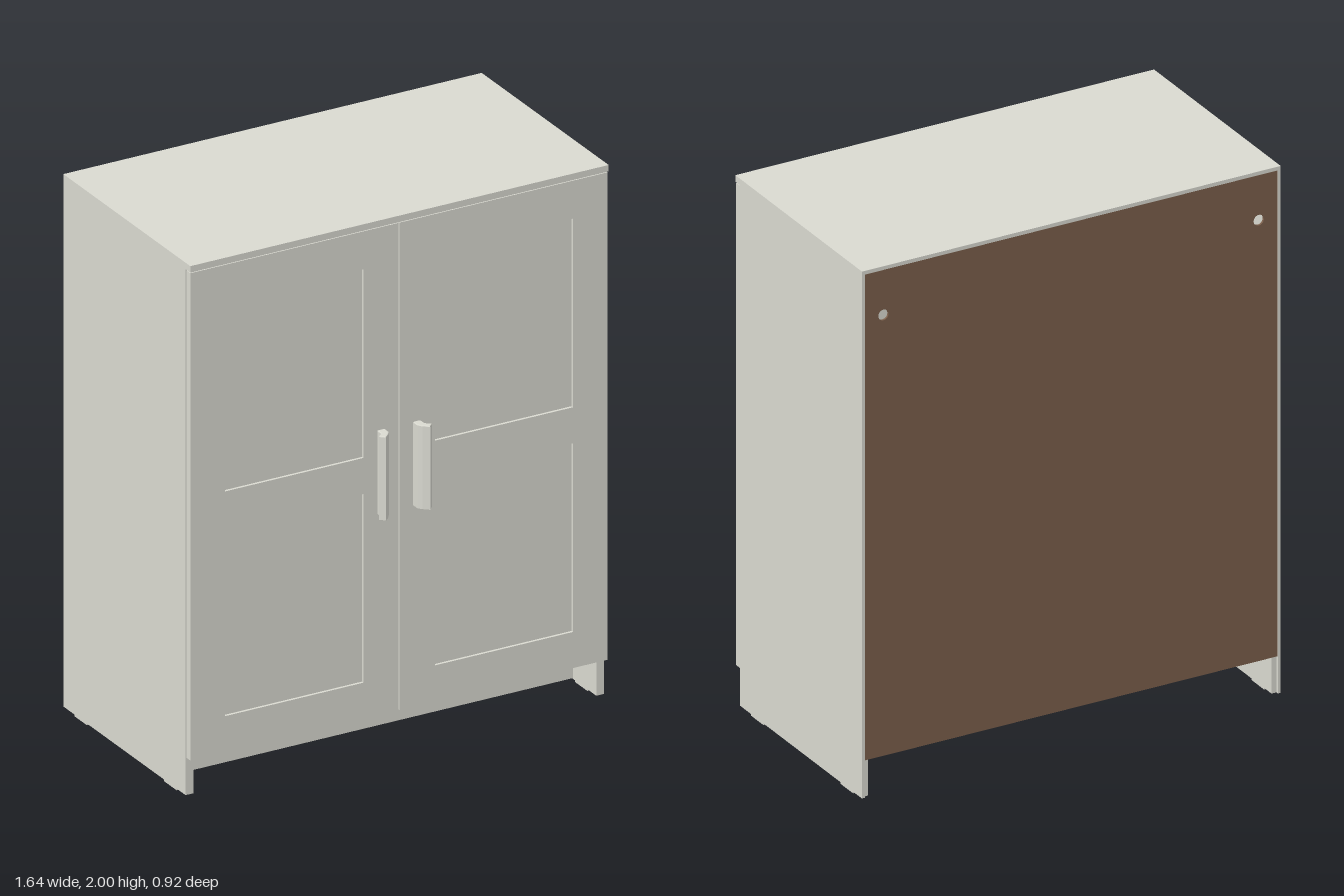
import * as THREE from 'three';

const paint = new THREE.MeshStandardMaterial({ color: 0xd9d9d0 });
paint.name = 'warm white paint';
const board = new THREE.MeshStandardMaterial({ color: 0x7a5e4a });
board.name = 'brown hardboard';

// Box given by its lower and upper limits on each axis
function box(name, [x0, x1], [y0, y1], [z0, z1]) {
  const mesh = new THREE.Mesh(new THREE.BoxGeometry(x1 - x0, y1 - y0, z1 - z0), paint);
  mesh.position.set((x0 + x1) / 2, (y0 + y1) / 2, (z0 + z1) / 2);
  mesh.name = name;
  return mesh;
}

function rectangle(path, x0, x1, y0, y1) {
  path.moveTo(x0, y0).lineTo(x1, y0).lineTo(x1, y1).lineTo(x0, y1).closePath();
  return path;
}

// Framed door with two sunken panels, hinged at the outer side
function door(side) {
  const group = new THREE.Group();
  group.name = side > 0 ? 'leftDoor' : 'rightDoor';
  const span = (a, b) => (side > 0 ? [a, b] : [-b, -a]);
  const panels = [[0.285, 0.99], [1.125, 1.83]];

  const shape = rectangle(new THREE.Shape(), ...span(0.002, 0.818), 0.15, 1.972);
  for (const [y0, y1] of panels) {
    shape.holes.push(rectangle(new THREE.Path(), ...span(0.14, 0.682), y0, y1));
  }
  const frame = new THREE.Mesh(
    new THREE.ExtrudeGeometry(shape, { depth: 0.027, bevelEnabled: false }), paint);
  frame.position.z = 0.372;
  frame.name = 'doorFrame';
  group.add(frame);
  for (const [y0, y1] of panels) {
    group.add(box('doorPanel', span(0.14, 0.682), [y0, y1], [0.374, 0.389]));
  }

  // Pull with a bent lip, extruded along its height
  const profile = [[0.057, 0.395], [0.083, 0.395], [0.083, 0.421], [0.088, 0.43],
    [0.101, 0.442], [0.087, 0.457], [0.068, 0.44], [0.058, 0.426]];
  const pull = new THREE.ExtrudeGeometry(
    new THREE.Shape(profile.map(([x, z]) => new THREE.Vector2(side * x, z))),
    { depth: 0.309, bevelThickness: 0.003, bevelSize: 0.003, bevelOffset: -0.001, bevelSegments: 2 });
  pull.rotateX(Math.PI / 2);
  const handle = new THREE.Mesh(pull, paint);
  handle.position.y = 1.212;
  handle.name = 'handle';
  group.add(handle);
  return group;
}

// Back sheet with two round fixing holes near the top
function backPanel() {
  const shape = rectangle(new THREE.Shape(), -0.808, 0.808, 0.15, 1.985);
  for (const x of [-0.735, 0.735]) {
    shape.holes.push(new THREE.Path().absarc(x, 1.815, 0.02, 0, Math.PI * 2, true));
  }
  const mesh = new THREE.Mesh(
    new THREE.ExtrudeGeometry(shape, { depth: 0.008, bevelEnabled: false, curveSegments: 20 }), board);
  mesh.position.z = -0.458;
  mesh.name = 'backPanel';
  return mesh;
}

export function createModel() {
  const model = new THREE.Group();
  model.name = 'cabinet';

  // Carcass
  model.add(box('top', [-0.82, 0.82], [1.976, 2], [-0.45, 0.402]));
  model.add(box('topBackLip', [-0.82, 0.82], [1.986, 2], [-0.46, -0.45]));
  model.add(box('bottom', [-0.79, 0.79], [0.15, 0.178], [-0.45, 0.37]));
  model.add(box('plinth', [-0.79, 0.79], [0.012, 0.15], [0.18, 0.21]));

  for (const side of [1, -1]) {
    const span = (a, b) => (side > 0 ? [a, b] : [-b, -a]);
    const label = side > 0 ? 'left' : 'right';
    model.add(box(label + 'Side', span(0.79, 0.82), [0.01, 1.976], [-0.45, 0.37]));
    model.add(box(label + 'SideBackLip', span(0.809, 0.82), [0.01, 1.986], [-0.46, -0.45]));
    // Glides under the side boards
    for (const z of [0.26, -0.35]) {
      model.add(box('glide', span(0.794, 0.816), [0, 0.01], [z - 0.042, z + 0.042]));
    }
    model.add(door(side));
  }

  model.add(backPanel());
  return model;
}
